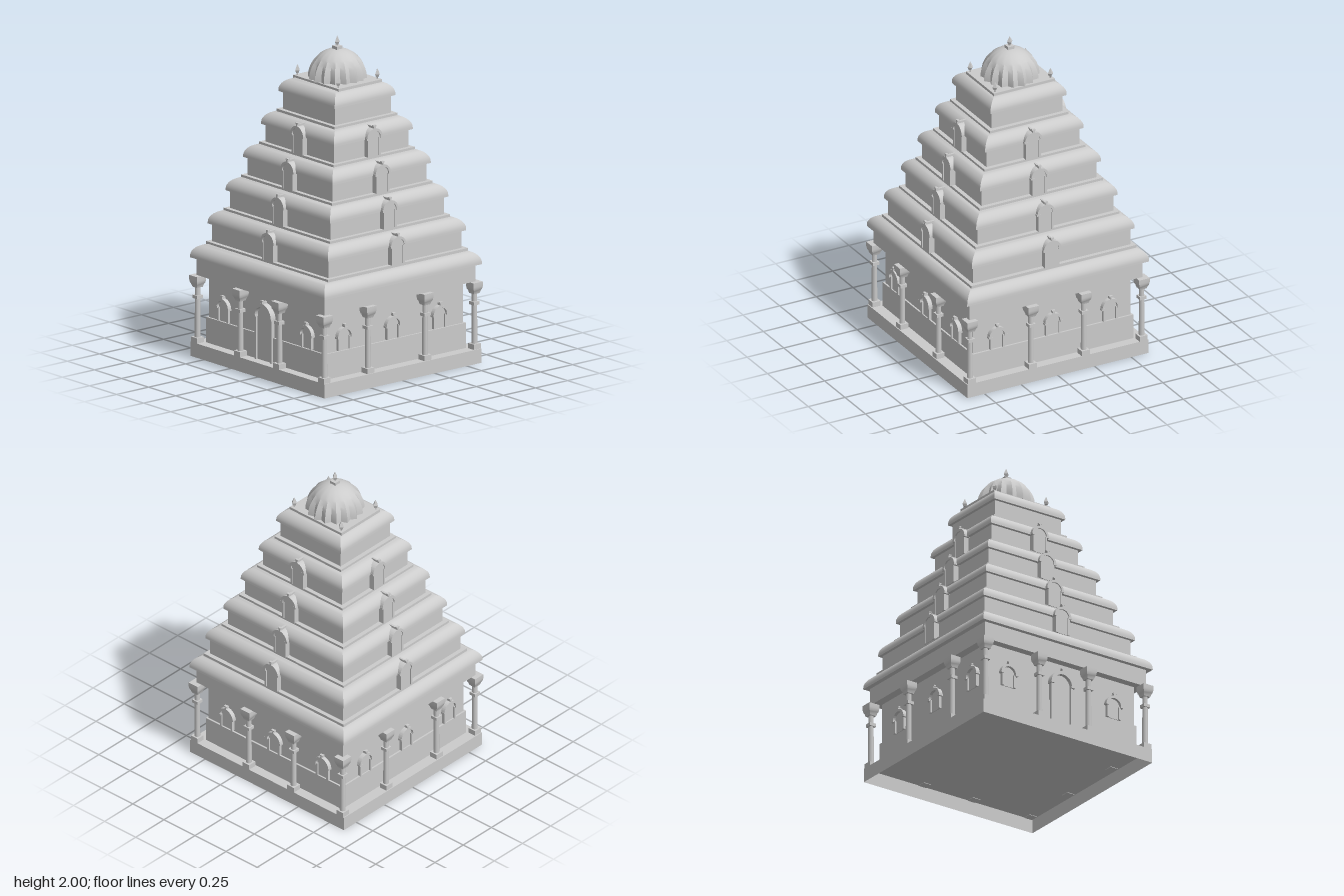
import * as THREE from 'three';
import { toCreasedNormals } from 'three/addons/utils/BufferGeometryUtils.js';

const CX = -0.003, CZ = -0.01;
const material = new THREE.MeshStandardMaterial({ color: 0xcccccc });
const openMaterial = new THREE.MeshStandardMaterial({ color: 0xcccccc, side: THREE.DoubleSide });

function add(parent, name, geometry, x = 0, y = 0, z = 0, mat = material) {
  const mesh = new THREE.Mesh(geometry, mat);
  mesh.name = name;
  mesh.position.set(x, y, z);
  parent.add(mesh);
  return mesh;
}

// Box given by half sizes and its bottom and top heights
function block(parent, name, hx, hz, y0, y1, x = 0, z = 0) {
  return add(parent, name, new THREE.BoxGeometry(2 * hx, y1 - y0, 2 * hz), x, (y0 + y1) / 2, z);
}

// Rectangular loft: profile of [inset, height] pairs swept round a rectangle
function rectLoft(hx, hz, profile, capBottom = true) {
  const v = [];
  const ring = ([i, y]) => [[1, 1], [1, -1], [-1, -1], [-1, 1]].map(([a, b]) => [a * (hx - i), y, b * (hz - i)]);
  const quad = (a, b, c, d) => v.push(...a, ...b, ...c, ...a, ...c, ...d);
  const rings = profile.map(ring);
  for (let k = 0; k < rings.length - 1; k++) {
    for (let s = 0; s < 4; s++) {
      const t = (s + 1) % 4;
      quad(rings[k][s], rings[k][t], rings[k + 1][t], rings[k + 1][s]);
    }
  }
  const top = rings[rings.length - 1], low = rings[0];
  quad(top[0], top[1], top[2], top[3]);
  if (capBottom) quad(low[3], low[2], low[1], low[0]);
  const g = new THREE.BufferGeometry();
  g.setAttribute('position', new THREE.Float32BufferAttribute(v, 3));
  return toCreasedNormals(g, 0.6);
}

// Rounded overhanging cornice
function eave(parent, hx, hz, y, x = 0, z = 0) {
  const profile = [[0, 0], [0, 0.01]];
  for (let k = 1; k <= 8; k++) {
    const a = (k / 8) * Math.PI / 2;
    profile.push([0.085 * (1 - Math.cos(a)), 0.01 + 0.075 * Math.sin(a)]);
  }
  add(parent, 'eave', rectLoft(hx, hz, profile), x, y, z);
}

function extrude(shape, depth) {
  const g = new THREE.ExtrudeGeometry(shape, { depth, bevelEnabled: false, curveSegments: 16 });
  return toCreasedNormals(g, 0.6);
}

// Arched opening: posts, round hood and back panel; local front is +z, wall at z = 0
function archway(name, { radius, post, spring, out, back }) {
  const g = new THREE.Group();
  g.name = name;
  const inner = radius * 0.75;
  const hood = new THREE.Shape();
  hood.absarc(0, 0, radius, 0, Math.PI, false);
  hood.absarc(0, 0, inner, Math.PI, 0, true);
  hood.closePath();
  add(g, 'archHood', extrude(hood, out + back), 0, spring, -back);
  const panel = new THREE.Shape();
  panel.moveTo(-inner, 0);
  panel.lineTo(inner, 0);
  panel.lineTo(inner, spring);
  panel.absarc(0, spring, inner, 0, Math.PI, false);
  panel.closePath();
  add(g, 'archPanel', extrude(panel, back + out * 0.3), 0, 0, -back);
  for (const s of [-1, 1]) {
    const w = 0.007, d = back + out * 0.7;
    add(g, 'archPost', new THREE.BoxGeometry(2 * w, spring, d), s * (post - w), spring / 2, d / 2 - back);
    add(g, 'archImpost', new THREE.BoxGeometry(radius - inner + 0.004, 0.012, out + back), s * (radius + inner) / 2, spring, (out - back) / 2);
  }
  // Ridge and its small crest
  add(g, 'archRidge', new THREE.BoxGeometry(0.013, 0.016, out + back), 0, spring + radius + 0.004, (out - back) / 2);
  add(g, 'archCrest', new THREE.BoxGeometry(0.022, 0.008, 0.015), 0, spring + radius + 0.016, out - 0.008);
  return g;
}

// Put an object on one of the four faces: 0 front, 1 +x side, 2 back, 3 -x side
function onFace(parent, object, face, along, distX, distZ, y, cx = 0, cz = 0) {
  object.rotation.y = face * Math.PI / 2;
  if (face % 2) object.position.set(cx + (face === 1 ? distX : -distX), y, along);
  else object.position.set(along, y, cz + (face === 0 ? distZ : -distZ));
  parent.add(object);
}

function column() {
  const g = new THREE.Group();
  g.name = 'column';
  block(g, 'columnFoot', 0.027, 0.027, 0.085, 0.12);
  add(g, 'columnShaft', new THREE.CylinderGeometry(0.016, 0.018, 0.33, 8), 0, 0.275, 0);
  block(g, 'columnBand', 0.022, 0.022, 0.36, 0.38);
  add(g, 'columnCapital', rectLoft(0.036, 0.036, [[0.014, 0.43], [0.008, 0.45], [0.004, 0.455], [0, 0.475], [0, 0.502]]));
  return g;
}

// Four-sided spindle standing on a small block
function finial(parent, name, x, y, z, h, r) {
  const pts = [[0.35, 0], [0.35, 0.2], [0.65, 0.25], [1, 0.48], [0.4, 0.8], [0, 1]];
  const lathe = new THREE.LatheGeometry(pts.map(([a, b]) => new THREE.Vector2(a * r, b * h)), 4);
  add(parent, name, toCreasedNormals(lathe, 0.5), x, y, z);
}

export function createModel() {
  const model = new THREE.Group();
  model.name = 'templeTower';

  // Hollow plinth, open underneath
  add(model, 'plinth', rectLoft(0.618, 0.612, [[0, 0], [0, 0.088]], false), 0, 0, 0, openMaterial);

  // Ground storey
  block(model, 'lowerWall', 0.548, 0.55, 0.088, 0.245);
  block(model, 'upperWall', 0.537, 0.538, 0.245, 0.51);
  block(model, 'beam', 0.59, 0.588, 0.502, 0.612);
  eave(model, 0.62, 0.615, 0.61);

  // Columns at the corners and between
  const spots = [];
  for (const s of [-1, 1]) {
    for (const t of [-1, 1]) spots.push([s * 0.585, t * 0.585]);
    for (const x of [-0.19, 0.17]) spots.push([x, s * 0.585]);
    for (const z of [-0.2, 0.245]) spots.push([s * 0.585, z]);
  }
  for (const [x, z] of spots) {
    const c = column();
    c.position.set(x, 0, z);
    model.add(c);
  }

  // Door in front, windows on every side
  const door = archway('door', { radius: 0.085, post: 0.078, spring: 0.272, out: 0.035, back: 0.02 });
  onFace(model, door, 0, -0.007, 0.54, 0.54, 0.088);
  const places = [[-0.39, 0.38], [0.4, 0.02, -0.345], [-0.39, 0, 0.38], [0.4, 0.02, -0.345]];
  places.forEach((list, face) => list.forEach((along) => {
    const win = archway('window', { radius: 0.06, post: 0.05, spring: 0.082, out: 0.026, back: 0.01 });
    onFace(model, win, face, along, 0.538, 0.538, 0.25);
  }));

  // Stepped roof tiers
  const ledgeX = [0.563, 0.49, 0.42, 0.344, 0.268];
  const ledgeZ = [0.547, 0.469, 0.392, 0.316, 0.245];
  for (let i = 0; i < 5; i++) {
    const tier = new THREE.Group();
    tier.name = 'roofTier';
    model.add(tier);
    const y = 0.675 + i * 0.207, hx = ledgeX[i], hz = ledgeZ[i];
    block(tier, 'ledge', hx, hz, y, y + 0.033, CX, CZ);
    block(tier, 'tierWall', hx - 0.027, hz - 0.027, y + 0.03, y + 0.145, CX, CZ);
    eave(tier, hx - 0.008, hz - 0.008, y + 0.142, CX, CZ);
    if (i === 4) continue;
    for (let face = 0; face < 4; face++) {
      const arch = archway('tierArch', { radius: 0.06, post: 0.05, spring: 0.113, out: 0.012, back: 0.07 });
      onFace(tier, arch, face, face % 2 ? -0.006 : 0.012, hx, hz, y + 0.033, CX, CZ);
    }
  }

  // Roof platform with corner finials
  block(model, 'roofPlatform', 0.208, 0.171, 1.70, 1.742, -0.006, -0.018);
  for (const x of [-0.195, 0.182]) {
    for (const z of [-0.169, 0.136]) finial(model, 'cornerFinial', x, 1.74, z, 0.07, 0.018);
  }

  // Ribbed dome: every second meridian pulled inward
  const dome = new THREE.SphereGeometry(1, 32, 14, 0, Math.PI * 2, 0, Math.PI / 2);
  const p = dome.attributes.position;
  for (let i = 0; i < p.count; i++) {
    const flat = Math.hypot(p.getX(i), p.getZ(i));
    const r = (i % 33) % 2 ? 1 - 0.13 * flat * flat : 1;
    p.setXYZ(i, p.getX(i) * r * 0.177, p.getY(i) * 0.182, p.getZ(i) * r * 0.177);
  }
  add(model, 'dome', toCreasedNormals(dome, 0.7), -0.005, 1.74, -0.015, openMaterial);

  // Crowning finial
  block(model, 'finialBase', 0.022, 0.022, 1.905, 1.938, -0.004, -0.013);
  finial(model, 'crownFinial', -0.004, 1.93, -0.013, 0.07, 0.018);

  return model;
}
